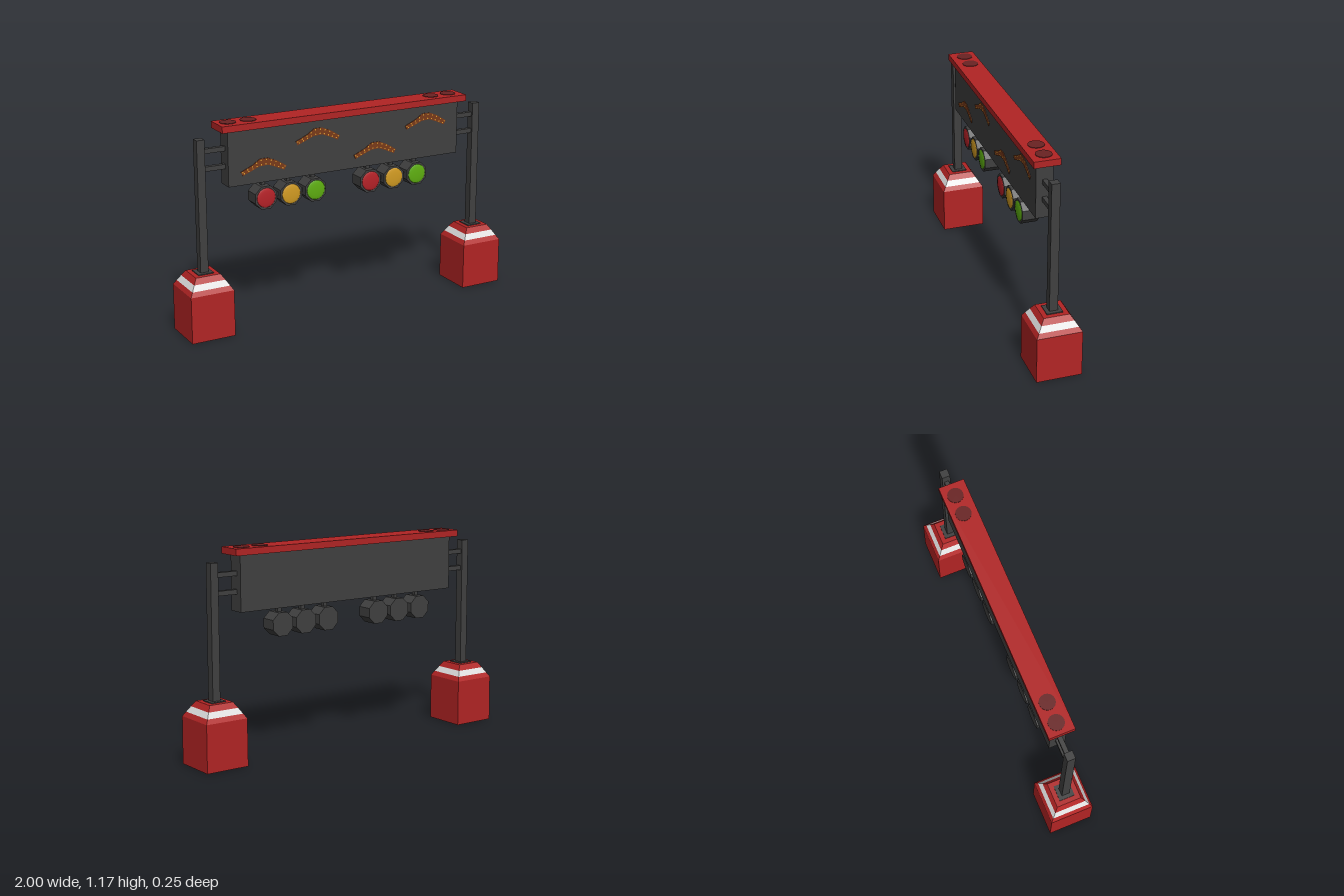
import * as THREE from 'three';

export function createModel() {
  const model = new THREE.Group();
  model.name = 'startGantry';

  const mat = (name, color, flat = true) => {
    const m = new THREE.MeshStandardMaterial({ color, flatShading: flat });
    m.name = name;
    return m;
  };
  const red = mat('red', 0xb22424);
  const white = mat('white', 0xe0e0e0);
  const grey = mat('darkGrey', 0x404040);
  const darkRed = mat('darkRed', 0x6a2323);
  const brown = mat('brown', 0x7a3a18);
  const gold = mat('gold', 0xe0a030);
  const lampColours = [
    mat('lampRed', 0xb82228, false),
    mat('lampAmber', 0xd39c22, false),
    mat('lampGreen', 0x5fb010, false),
  ];

  const add = (parent, name, geometry, material, x = 0, y = 0, z = 0) => {
    const mesh = new THREE.Mesh(geometry, material);
    mesh.name = name;
    mesh.position.set(x, y, z);
    parent.add(mesh);
    return mesh;
  };
  const box = (parent, name, material, w, h, d, x, y, z) =>
    add(parent, name, new THREE.BoxGeometry(w, h, d), material, x, y, z);

  // Square frustum between two heights, given half widths
  const frustum = (parent, name, material, y0, y1, half0, half1, open) => {
    const g = new THREE.CylinderGeometry(half1 * Math.SQRT2, half0 * Math.SQRT2, y1 - y0, 4, 1, open);
    g.rotateY(Math.PI / 4);
    add(parent, name, g, material, 0, (y0 + y1) / 2, 0);
  };

  // Weighted bases, posts and bracket arms on both sides
  for (const side of [1, -1]) {
    const support = new THREE.Group();
    support.name = side > 0 ? 'leftSupport' : 'rightSupport';
    support.position.x = side * 0.8725;
    model.add(support);
    frustum(support, 'baseBlock', red, 0, 0.265, 0.1275, 0.1265, false);
    frustum(support, 'baseShoulder', red, 0.265, 0.29, 0.1265, 0.111, true);
    frustum(support, 'baseStripe', white, 0.29, 0.321, 0.111, 0.092, true);
    frustum(support, 'baseCap', red, 0.321, 0.352, 0.092, 0.072, false);
    box(support, 'postCollar', grey, 0.09, 0.006, 0.09, 0, 0.354, 0);
    box(support, 'post', grey, 0.046, 0.747, 0.047, 0, 0.7235, 0);
    for (const y of [1.03, 0.931]) {
      box(support, 'bracketArm', grey, 0.135, 0.026, 0.026, -side * 0.085, y, 0);
    }
  }

  // Banner board and its roof
  box(model, 'bannerBoard', grey, 1.454, 0.309, 0.094, 0, 0.9775, 0);
  box(model, 'roof', red, 1.536, 0.037, 0.148, 0, 1.1495, 0);
  for (const x of [-0.7, -0.582, 0.575, 0.692]) {
    add(model, 'roofDisc', new THREE.CylinderGeometry(0.045, 0.045, 0.004, 16), darkRed, x, 1.169, -0.005);
  }

  // Two rows of three hanging lamps
  const lampY = 0.732;
  const housing = new THREE.CylinderGeometry(0.0704, 0.0704, 0.094, 8);
  housing.rotateY(Math.PI / 8);
  housing.rotateX(Math.PI / 2);
  const lens = new THREE.SphereGeometry(0.056, 20, 6, 0, Math.PI * 2, 0, Math.PI / 2);
  lens.rotateX(Math.PI / 2);
  lens.scale(1, 1, 0.12);
  for (const centre of [-0.353, 0.304]) {
    const row = new THREE.Group();
    row.name = 'lampRow';
    row.position.set(centre, lampY, 0);
    model.add(row);
    lampColours.forEach((colour, i) => {
      const x = (i - 1) * 0.153;
      add(row, 'lampHousing', housing, grey, x, 0, 0);
      add(row, 'lampLens', lens, colour, x, 0, 0.0472);
      box(row, 'lampHanger', grey, 0.024, 0.06, 0.024, x, 0.075, 0);
    });
    box(row, 'lampLink', grey, 0.306, 0.024, 0.024, 0, 0, 0);
  }

  // Bent plates with studded edges on the front of the board
  const upper = [[-0.136, -0.027], [-0.066, 0.003], [-0.022, 0.032], [0.026, 0.032], [0.075, 0.012], [0.137, -0.026]];
  const lower = [[0.124, -0.049], [0.07, -0.024], [0.026, -0.007], [-0.026, -0.01], [-0.07, -0.028], [-0.125, -0.049]];
  const outline = new THREE.Shape([...upper, ...lower].map(([x, y]) => new THREE.Vector2(x, y)));
  const plate = new THREE.ExtrudeGeometry(outline, { depth: 0.003, bevelEnabled: false });
  const stud = new THREE.CircleGeometry(0.0042, 6);
  for (const [x, y] of [[-0.187, 1.052], [0.51, 1.052], [-0.519, 0.925], [0.176, 0.925]]) {
    const ornament = new THREE.Group();
    ornament.name = 'bentOrnament';
    ornament.position.set(x, y, 0.047);
    model.add(ornament);
    add(ornament, 'bentPlate', plate, brown);
    for (const [edge, inset] of [[upper, -0.008], [lower, 0.008]]) {
      const path = new THREE.CurvePath();
      for (let i = 1; i < edge.length; i++) {
        path.add(new THREE.LineCurve(new THREE.Vector2(...edge[i - 1]), new THREE.Vector2(...edge[i])));
      }
      for (let i = 0; i < 10; i++) {
        const p = path.getPointAt(0.04 + (i * 0.92) / 9);
        add(ornament, 'stud', stud, gold, p.x, p.y + inset, 0.0036);
      }
    }
  }

  return model;
}
